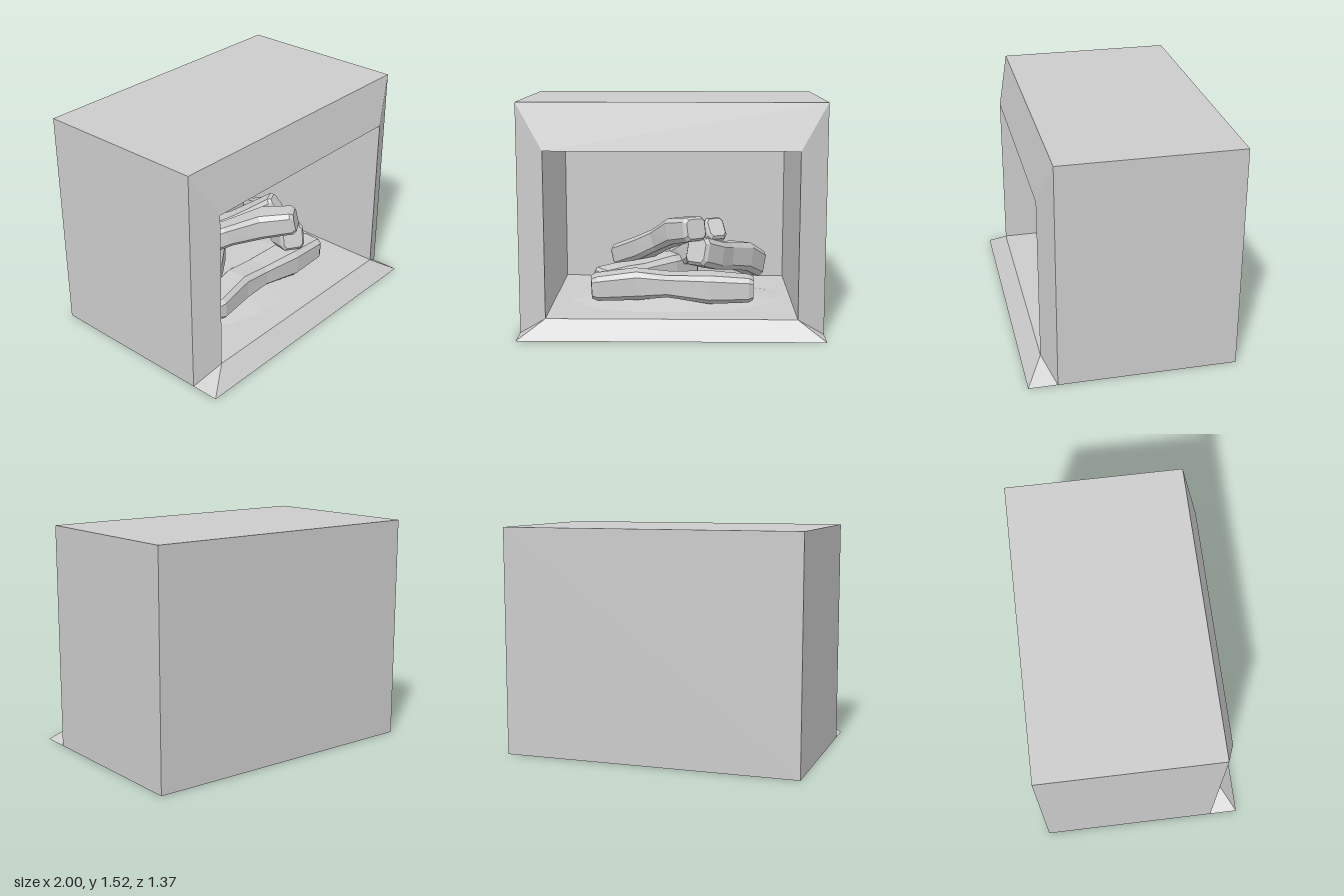
import * as THREE from 'three';

const material = new THREE.MeshStandardMaterial({ color: 0xcccccc, flatShading: true, side: THREE.DoubleSide });

function makeMesh(name, points, index) {
  const indexed = new THREE.BufferGeometry().setFromPoints(points);
  indexed.setIndex(index);
  const geometry = indexed.toNonIndexed();
  geometry.computeVertexNormals();
  const mesh = new THREE.Mesh(geometry, material);
  mesh.name = name;
  return mesh;
}

// Join equal-sized rings of points with quads, optionally capping both ends
function loft(name, rings, capped) {
  const n = rings[0].length;
  const index = [];
  for (let r = 0; r < rings.length - 1; r++) {
    for (let i = 0; i < n; i++) {
      const a = r * n + i, b = r * n + (i + 1) % n;
      index.push(a, b, b + n, a, b + n, a + n);
    }
  }
  if (capped) {
    const last = (rings.length - 1) * n;
    for (let i = 1; i < n - 1; i++) {
      index.push(0, i + 1, i, last, last + i, last + i + 1);
    }
  }
  return makeMesh(name, rings.flat(), index);
}

// Four corners, counter-clockwise seen from the front
function rect(halfWidth, bottom, top, z) {
  return [[-1, bottom], [1, bottom], [1, top], [-1, top]]
    .map(([s, y]) => new THREE.Vector3(s * halfWidth, y, z));
}

function seeded(seed) {
  let s = seed;
  return () => (s = (s * 16807) % 2147483647) / 2147483647;
}

// Rough-hewn log: chamfered square section swept along a bent path
function makeLog(name, path, halfWidth, halfHeight, seed) {
  const curve = new THREE.CatmullRomCurve3(path.map((p) => new THREE.Vector3(...p)));
  const random = seeded(seed * 7919);
  const stations = [[0, 0.8], [0.03, 1], [0.25, 1.06], [0.45, 0.95], [0.72, 1.08], [0.97, 1], [1, 0.8]];
  const section = [[1, -0.65], [1, 0.65], [0.7, 1], [-0.7, 1], [-1, 0.65], [-1, -0.65], [-0.7, -1], [0.7, -1]];
  const rings = stations.map(([t, size], k) => {
    const centre = curve.getPoint(t);
    const tangent = curve.getTangent(t);
    const side = new THREE.Vector3(0, 1, 0).cross(tangent).normalize();
    const up = tangent.clone().cross(side);
    const inner = k > 1 && k < stations.length - 2;
    const w = halfWidth * size * (inner ? 0.92 + 0.2 * random() : 1);
    const h = halfHeight * size * (inner ? 0.92 + 0.2 * random() : 1);
    return section.map(([u, v]) => centre.clone().addScaledVector(side, u * w).addScaledVector(up, v * h));
  });
  return loft(name, rings, true);
}

export function createModel() {
  const model = new THREE.Group();

  // Outer casing, sloped front surround and inner firebox
  const outerBack = rect(1, 0, 1.52, -0.685);
  const outerFront = rect(1, 0, 1.52, 0.495);
  const opening = rect(0.82, 0.12, 1.215, 0.575);
  const innerBack = rect(0.82, 0.12, 1.215, -0.66);
  model.add(loft('casing', [outerBack, outerFront], false));
  model.add(makeMesh('backPanel', outerBack, [0, 2, 1, 0, 3, 2]));
  model.add(loft('firebox', [opening, innerBack], false));
  model.add(makeMesh('fireboxBack', innerBack, [0, 1, 2, 0, 2, 3]));

  const surround = [...outerFront, ...opening];
  model.add(makeMesh('surround', surround, [1, 2, 6, 1, 6, 5, 2, 3, 7, 2, 7, 6, 3, 0, 4, 3, 4, 7]));

  // Sloped hearth lip with its end triangles and underside
  const lip = [
    new THREE.Vector3(-1, 0, 0.685), new THREE.Vector3(1, 0, 0.685),
    opening[1], opening[0], outerFront[0], outerFront[1],
  ];
  model.add(makeMesh('hearthLip', lip, [0, 1, 2, 0, 2, 3, 1, 5, 2, 0, 3, 4, 0, 4, 5, 0, 5, 1]));

  // Low uneven ash bed
  const ashRings = [[1, 0.12], [0.82, 0.14], [0.62, 0.163], [0.02, 0.168]].map(([scale, y]) =>
    Array.from({ length: 20 }, (_, i) => {
      const a = -i / 20 * Math.PI * 2;
      const r = scale * (1 + 0.04 * Math.sin(3 * a + 1));
      return new THREE.Vector3(0.74 * r * Math.cos(a), y + 0.001, -0.06 + 0.48 * r * Math.sin(a));
    }));
  model.add(loft('ashBed', ashRings, false));

  // Stacked logs
  const logs = new THREE.Group();
  logs.name = 'logs';
  logs.add(
    makeLog('frontLog', [[-0.55, 0.25, 0.24], [-0.15, 0.265, 0.19], [0.2, 0.25, 0.22], [0.55, 0.245, 0.24]], 0.095, 0.083, 3),
    makeLog('lowerLog', [[-0.5, 0.25, 0.12], [-0.2, 0.27, -0.1], [0.12, 0.27, -0.42]], 0.1, 0.095, 5),
    makeLog('leftLog', [[-0.4, 0.33, -0.42], [-0.15, 0.48, -0.1], [0.02, 0.62, 0.15], [0.16, 0.68, 0.38]], 0.085, 0.08, 8),
    makeLog('rightLog', [[0.16, 0.53, 0.36], [0.3, 0.45, 0.14], [0.45, 0.4, -0.12], [0.6, 0.28, -0.38]], 0.085, 0.095, 11),
    makeLog('backLog', [[0.02, 0.3, -0.42], [0.18, 0.45, -0.15], [0.3, 0.64, 0.1]], 0.07, 0.08, 14),
  );
  model.add(logs);
  return model;
}
